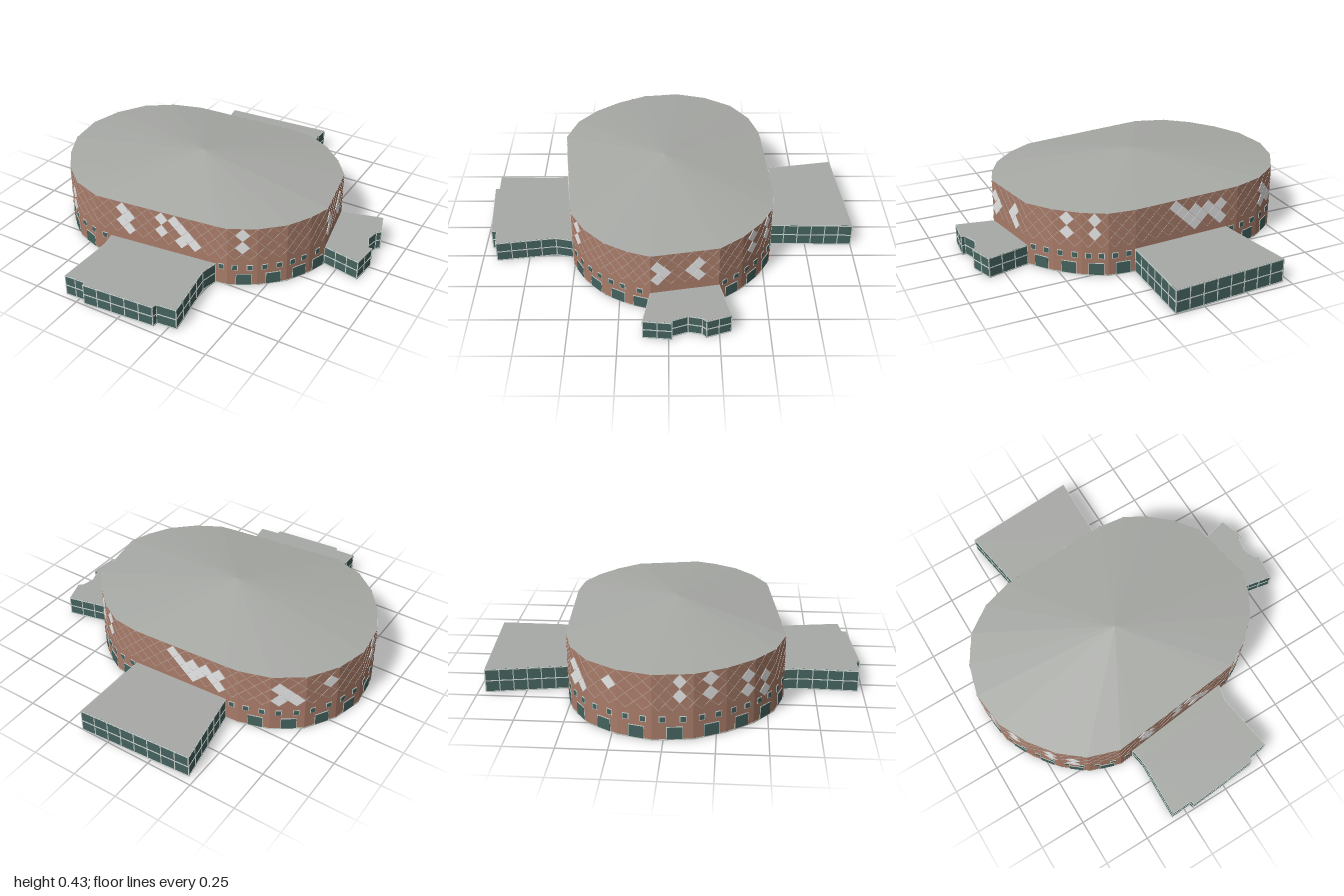
import * as THREE from 'three';
import { mergeGeometries } from 'three/addons/utils/BufferGeometryUtils.js';

const mat = (name, color) => {
  const m = new THREE.MeshStandardMaterial({ color, side: THREE.DoubleSide });
  m.name = name;
  return m;
};

const WALL_TOP = 0.345;
const APEX = [-0.1, 0.43, 0.02];

// Hall footprint as [x, z] corners, clockwise seen from above
const HALL = [
  [0.148, -0.557], [0.29, -0.54], [0.406, -0.476], [0.52, -0.375], [0.612, -0.254],
  [0.675, 0.09], [0.638, 0.2], [0.57, 0.322], [0.459, 0.428], [0.327, 0.503],
  [0.264, 0.513], [-0.332, 0.577], [-0.41, 0.585], [-0.575, 0.53], [-0.7, 0.428],
  [-0.8, 0.296], [-0.876, 0.143], [-0.9, -0.053], [-0.855, -0.222], [-0.76, -0.375],
  [-0.617, -0.476], [-0.459, -0.524], [-0.39, -0.53],
];

// Glazed wings; the hall side (last point back to first) stays open
const WINGS = [
  { name: 'frontWing', side: 10, height: 0.118, points: [
    [-0.332, 0.577], [-0.317, 0.66], [-0.327, 0.974], [-0.211, 0.968], [-0.206, 0.99],
    [0.18, 0.958], [0.185, 0.931], [0.29, 0.92], [0.243, 0.603], [0.264, 0.513]] },
  { name: 'backWing', side: 22, height: 0.13, points: [
    [0.148, -0.557], [0.156, -1], [-0.464, -0.958], [-0.39, -0.53]] },
  { name: 'rightSideWing', side: 4, height: 0.11, points: [
    [0.612, -0.254], [0.834, -0.307], [0.876, -0.185], [0.855, -0.165], [0.84, -0.095],
    [0.87, -0.016], [0.89, -0.016], [0.876, 0.127], [0.675, 0.09]] },
];

// Bright diamond panes: wall number -> [column, row] on that wall's lattice
const DIAMONDS = {
  1: [[2, 5], [2, 3]],
  2: [[2, 5], [2, 3]],
  4: [[9, 4], [8, 3], [9, 2], [3, 4], [4, 3], [3, 2]],
  8: [[2, 5], [2, 3]],
  10: [[14, 5], [13, 4], [14, 3], [13, 2], [8, 5], [8, 3],
    [6, 5], [5, 4], [4, 3], [5, 2], [3, 2]],
  13: [[2, 3], [2, 1]],
  14: [[1, 4], [1, 2]],
  15: [[2, 5], [2, 3]],
  16: [[2, 5], [2, 3]],
  18: [[1, 4]],
  19: [[1, 2], [2, 3], [3, 2], [3, 4]],
  22: [[8, 5], [7, 4], [6, 3], [5, 4], [5, 2], [4, 3], [3, 4], [2, 3], [1, 4], [1, 2]],
};

const STEP = 0.0375; // half a lattice diamond
const rowY = (j) => 0.12 + j * STEP;
const wallLength = (a, b) => Math.hypot(b[0] - a[0], b[1] - a[1]);

// Place a geometry drawn in the wall plane (x along the wall, y up) on wall a-b
function onWall(geometry, a, b, along, y) {
  const t = along / wallLength(a, b);
  geometry.rotateY(-Math.atan2(b[1] - a[1], b[0] - a[0]));
  return geometry.translate(a[0] + (b[0] - a[0]) * t, y, a[1] + (b[1] - a[1]) * t);
}

const plate = (a, b, along, y, w, h, thick, roll = 0) =>
  onWall(new THREE.BoxGeometry(w, h, thick).rotateZ(roll), a, b, along, y);

function diamond(a, b, along, y, halfW, halfH) {
  const g = new THREE.CylinderGeometry(1, 1, 0.008, 4).rotateX(Math.PI / 2);
  return onWall(g.scale(halfW, halfH, 1), a, b, along, y);
}

// Flat wall sheet between two heights
const sheet = (a, b, y0, y1) => {
  const len = wallLength(a, b);
  return onWall(new THREE.PlaneGeometry(len, y1 - y0), a, b, len / 2, (y0 + y1) / 2);
};

export function createModel() {
  const model = new THREE.Group();
  model.name = 'arena';
  const brick = mat('brick', 0xa87b68);
  const roofGrey = mat('roofGrey', 0xa8aaa6);
  const glass = mat('tealGlass', 0x44625e);
  const frame = mat('paleFrame', 0xc6d0cc);
  const mortar = mat('paleMortar', 0xb9a398);
  const white = mat('whitePane', 0xffffff);

  const add = (parent, name, parts, material) => {
    const mesh = new THREE.Mesh(mergeGeometries(parts), material);
    mesh.name = name;
    parent.add(mesh);
  };

  // Hall walls with lattice, panes and windows
  const hall = new THREE.Group();
  hall.name = 'hall';
  model.add(hall);
  const walls = [], lattice = [], panes = [], windows = [], frames = [], roof = [];
  HALL.forEach((a, k) => {
    const b = HALL[(k + 1) % HALL.length];
    const len = wallLength(a, b);
    const wing = WINGS.find((w) => w.side === k);
    walls.push(sheet(a, b, wing ? wing.height : 0, WALL_TOP));
    roof.push(...APEX, b[0], WALL_TOP, b[1], a[0], WALL_TOP, a[1]);

    // Diagonal brick lattice
    const n = Math.max(2, 2 * Math.round(len / (2 * STEP)));
    const dx = len / n;
    for (let i = 0; i < n; i++) {
      for (let j = 1; j < 6; j++) {
        const slope = Math.atan2(STEP, dx) * ((i + j) % 2 ? -1 : 1);
        lattice.push(plate(a, b, (i + 0.5) * dx, rowY(j + 0.5),
          Math.hypot(dx, STEP), 0.0025, 0.003, slope));
      }
    }
    for (const [i, j] of DIAMONDS[k] || []) {
      panes.push(diamond(a, b, i * dx, rowY(j), dx * 0.97, STEP * 0.97));
    }

    // Small upper windows, ground-floor window and base strip
    if (wing) return;
    frames.push(plate(a, b, len / 2, 0.003, len, 0.006, 0.003));
    const count = len > 0.12 ? 2 : 1;
    for (let i = 0; i < count; i++) {
      const s = ((i + 0.5) * len) / count;
      frames.push(plate(a, b, s, 0.111, 0.032, 0.032, 0.005));
      windows.push(plate(a, b, s, 0.111, 0.025, 0.025, 0.008));
    }
    if (len > 0.1) {
      frames.push(plate(a, b, len * 0.45, 0.037, 0.08, 0.068, 0.005));
      windows.push(plate(a, b, len * 0.45, 0.037, 0.075, 0.062, 0.008));
    }
  });
  add(hall, 'brickWalls', walls, brick);
  add(hall, 'brickLattice', lattice, mortar);
  add(hall, 'diamondPanes', panes, white);
  add(hall, 'windows', windows, glass);
  add(hall, 'windowFrames', frames, frame);

  // Shallow faceted roof rising to one point
  const cone = new THREE.BufferGeometry();
  cone.setAttribute('position', new THREE.Float32BufferAttribute(roof, 3));
  cone.computeVertexNormals();
  add(hall, 'hallRoof', [cone], roofGrey);

  // Flat-roofed glass wings
  for (const { name, height, points } of WINGS) {
    const wing = new THREE.Group();
    wing.name = name;
    model.add(wing);
    const glazing = [], mullions = [];
    for (let k = 0; k < points.length - 1; k++) {
      const a = points[k], b = points[k + 1];
      const len = wallLength(a, b);
      glazing.push(sheet(a, b, 0, height));
      for (const y of [0.003, height / 2, height - 0.003]) {
        mullions.push(plate(a, b, len / 2, y, len, 0.005, 0.005));
      }
      const n = Math.max(1, Math.round(len / 0.075));
      for (let i = 0; i <= n; i++) {
        mullions.push(plate(a, b, (i * len) / n, height / 2, 0.005, height - 0.002, 0.005));
      }
    }
    add(wing, 'glazing', glazing, glass);
    add(wing, 'mullions', mullions, frame);
    const outline = new THREE.Shape(points.map(([x, z]) => new THREE.Vector2(x, -z)));
    const top = new THREE.ShapeGeometry(outline).rotateX(-Math.PI / 2).translate(0, height, 0);
    add(wing, 'wingRoof', [top], roofGrey);
  }
  return model;
}
